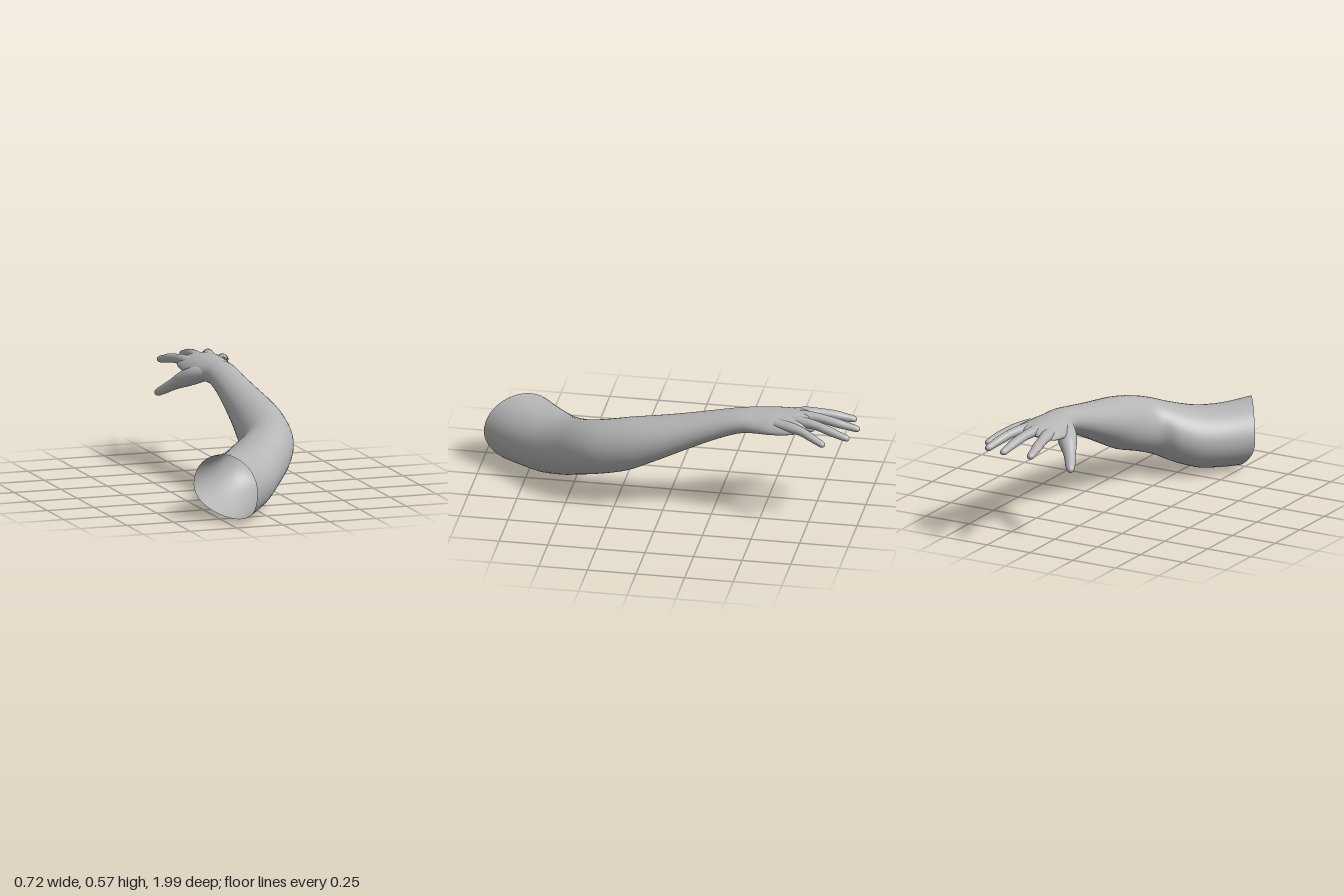
import * as THREE from 'three';

const SIDES = 40;

// Skin a list of closed rings (arrays of Vector3, SIDES each); optionally close the far end.
function skin(rings, material, name, capEnd = true) {
  const pos = [], index = [];
  rings.forEach(r => r.forEach(p => pos.push(p.x, p.y, p.z)));
  for (let i = 0; i < rings.length - 1; i++) {
    for (let j = 0; j < SIDES; j++) {
      const k = (j + 1) % SIDES;
      const a = i * SIDES + j, b = i * SIDES + k, c = a + SIDES, d = b + SIDES;
      index.push(a, c, b, b, c, d);
    }
  }
  if (capEnd) {
    const last = rings[rings.length - 1], base = (rings.length - 1) * SIDES;
    const tip = last.reduce((s, p) => s.add(p), new THREE.Vector3()).divideScalar(SIDES);
    pos.push(tip.x, tip.y, tip.z);
    for (let j = 0; j < SIDES; j++) index.push(base + j, base + SIDES, base + (j + 1) % SIDES);
  }
  const geo = new THREE.BufferGeometry();
  geo.setAttribute('position', new THREE.Float32BufferAttribute(pos, 3));
  geo.setIndex(index);
  geo.computeVertexNormals();
  const mesh = new THREE.Mesh(geo, material);
  mesh.name = name;
  return mesh;
}

// Smoothly interpolate rows of numbers.
function sample(rows, t) {
  const f = t * (rows.length - 1), i = Math.min(Math.floor(f), rows.length - 2), u = f - i;
  const at = k => rows[Math.max(0, Math.min(rows.length - 1, k))];
  return rows[0].map((_, n) => {
    const [a, b, c, d] = [at(i - 1)[n], at(i)[n], at(i + 1)[n], at(i + 2)[n]];
    return b + 0.5 * u * (c - a + u * (2 * a - 5 * b + 4 * c - d + u * (3 * (b - c) + d - a)));
  });
}

// Arm stations: inner x, inner z, outer x, outer z, bottom y, top y, droop of the side edges
const ARM = [
  [-0.36, 0.66, -0.135, 0.99, 0.0, 0.345, 0],
  [-0.27, 0.56, -0.04, 0.86, 0.005, 0.328, 0],
  [-0.17, 0.46, 0.05, 0.74, 0.018, 0.332, 0],
  [-0.08, 0.39, 0.135, 0.62, 0.055, 0.362, 0],
  [0.0, 0.345, 0.22, 0.5, 0.105, 0.4, 0],
  [0.032, 0.27, 0.28, 0.37, 0.143, 0.432, 0],
  [0.045, 0.17, 0.305, 0.2, 0.185, 0.463, 0],
  [0.06, 0.05, 0.302, 0.05, 0.25, 0.485, 0],
  [0.075, -0.1, 0.282, -0.1, 0.322, 0.511, 0],
  [0.085, -0.25, 0.262, -0.25, 0.39, 0.54, 0],
  [0.085, -0.36, 0.255, -0.36, 0.432, 0.56, 0],
  [0.077, -0.42, 0.256, -0.42, 0.447, 0.567, 0.005],
  [0.052, -0.48, 0.266, -0.48, 0.458, 0.569, 0.015],
  [0.032, -0.56, 0.284, -0.56, 0.475, 0.571, 0.025],
  [0.026, -0.64, 0.292, -0.64, 0.493, 0.57, 0.028],
  [0.034, -0.7, 0.289, -0.69, 0.508, 0.565, 0.026],
  [0.06, -0.735, 0.26, -0.725, 0.522, 0.556, 0.022],
  [0.09, -0.745, 0.23, -0.74, 0.536, 0.542, 0.015],
];

function armRings() {
  const rings = [], steps = 102;
  for (let i = 0; i <= steps; i++) {
    const [xl, zl, xr, zr, lo, hi, droop] = sample(ARM, i / steps);
    const cut = 0.085 * Math.max(0, 1 - i / 14); // the open rim slants inward underneath
    const ring = [];
    for (let j = 0; j < SIDES; j++) {
      const a = (j / SIDES) * Math.PI * 2, c = Math.cos(a), s = Math.sin(a);
      const slant = s < 0 ? cut * s * s : 0;
      ring.push(new THREE.Vector3(
        (xl + xr) / 2 + (c * (xr - xl)) / 2 + slant * 0.8,
        (lo + hi) / 2 + (s * (hi - lo)) / 2 - droop * c * c,
        (zl + zr) / 2 + (c * (zr - zl)) / 2 - slant * 0.6));
    }
    rings.push(ring);
  }
  return rings;
}

// Finger paths, each point: x, y, z, radius
const FINGERS = {
  thumb: [[0.11, 0.505, -0.44, 0.035], [0.07, 0.487, -0.51, 0.05], [0.026, 0.458, -0.57, 0.046],
    [-0.012, 0.425, -0.62, 0.033], [-0.042, 0.395, -0.665, 0.027], [-0.075, 0.362, -0.72, 0.02]],
  indexFinger: [[0.09, 0.527, -0.62, 0.028], [0.07, 0.527, -0.71, 0.031], [0.056, 0.523, -0.78, 0.026],
    [0.044, 0.512, -0.85, 0.026], [0.036, 0.5, -0.9, 0.022], [0.029, 0.488, -0.96, 0.019]],
  middleFinger: [[0.145, 0.54, -0.62, 0.026], [0.142, 0.542, -0.72, 0.029], [0.15, 0.538, -0.8, 0.025],
    [0.159, 0.524, -0.88, 0.025], [0.163, 0.512, -0.94, 0.021], [0.166, 0.5, -1.0, 0.018]],
  ringFinger: [[0.19, 0.54, -0.62, 0.026], [0.21, 0.54, -0.71, 0.029], [0.233, 0.536, -0.79, 0.025],
    [0.254, 0.521, -0.86, 0.024], [0.266, 0.508, -0.91, 0.021], [0.276, 0.495, -0.965, 0.018]],
  littleFinger: [[0.235, 0.53, -0.58, 0.028], [0.262, 0.527, -0.66, 0.029], [0.286, 0.522, -0.72, 0.024],
    [0.311, 0.508, -0.77, 0.022], [0.328, 0.494, -0.81, 0.02], [0.344, 0.48, -0.85, 0.017]],
};

function fingerRings(path) {
  const rings = [], steps = 48, up = new THREE.Vector3(0, 1, 0);
  const round = 0.11; // last part of the length that rounds off into the tip
  for (let i = 0; i <= steps; i++) {
    // denser rings towards the tip
    const t = Math.sin((i / steps) * Math.PI / 2);
    const [x, y, z, r] = sample(path, t);
    const p = new THREE.Vector3(x, y, z);
    const t0 = Math.max(0, t - 0.02), t1 = Math.min(1, t + 0.02);
    const dir = new THREE.Vector3(...sample(path, t1).slice(0, 3))
      .sub(new THREE.Vector3(...sample(path, t0).slice(0, 3))).normalize();
    const side = dir.clone().cross(up).normalize(), top = side.clone().cross(dir);
    const e = Math.max(0, (t - 1 + round) / round);
    const rad = r * Math.sqrt(Math.max(0.0004, 1 - e * e));
    rings.push(Array.from({ length: SIDES }, (_, j) => {
      const a = (j / SIDES) * Math.PI * 2;
      return p.clone().addScaledVector(side, Math.cos(a) * rad).addScaledVector(top, Math.sin(a) * rad * 0.9);
    }));
  }
  return rings;
}

export function createModel() {
  const model = new THREE.Group();
  model.name = 'arm';
  const grey = new THREE.MeshStandardMaterial({ color: 0xb4b4b4, side: THREE.DoubleSide });
  grey.name = 'grey skin';

  // Upper arm, forearm and palm in one open-ended sleeve
  model.add(skin(armRings(), grey, 'armAndPalm'));

  // Thumb and fingers grow out of the palm
  const hand = new THREE.Group();
  hand.name = 'fingers';
  for (const [name, path] of Object.entries(FINGERS)) hand.add(skin(fingerRings(path), grey, name));
  model.add(hand);
  return model;
}
